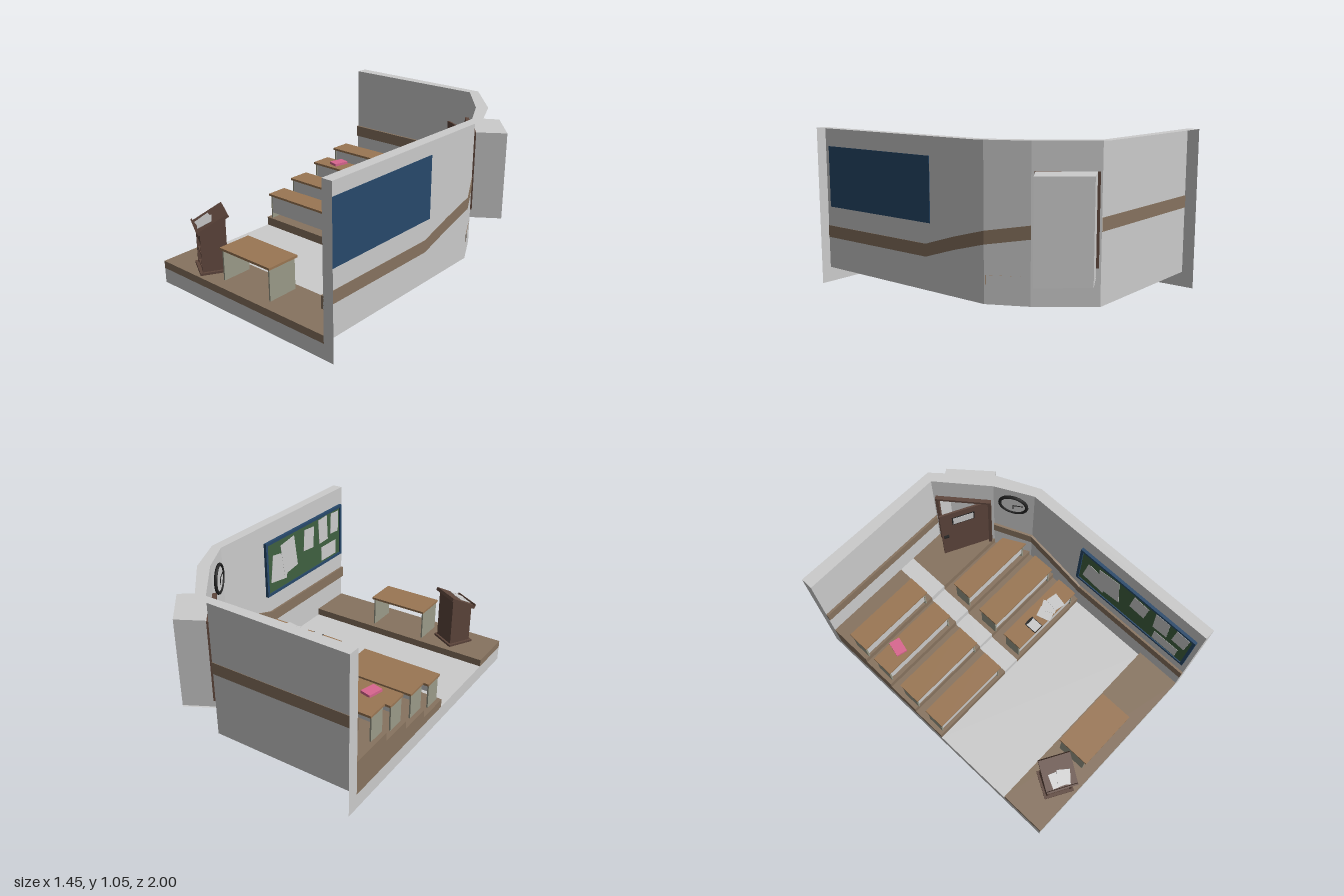
import * as THREE from 'three';

const GREY = 0xcccccc, FLOOR = 0x87735f, WOOD = 0x9a7653, DARK = 0x5e463c, BLACK = 0x222222;
const LEG = 0x9a9a88, BLUE = 0x27496b, GREEN = 0x3f6040, PINK = 0xd9668f;

const mats = {};
const mat = (c) => (mats[c] ??= new THREE.MeshStandardMaterial({ color: c, side: THREE.DoubleSide }));

function add(parent, name, geo, color, pos = [0, 0, 0], rot = [0, 0, 0]) {
  const m = new THREE.Mesh(geo, mat(color));
  m.name = name;
  m.position.set(...pos);
  m.rotation.set(...rot);
  parent.add(m);
  return m;
}

// Box given by its extents on each axis
function block(parent, name, color, x0, x1, y0, y1, z0, z1) {
  return add(parent, name, new THREE.BoxGeometry(x1 - x0, y1 - y0, z1 - z0), color,
    [(x0 + x1) / 2, (y0 + y1) / 2, (z0 + z1) / 2]);
}

// Open shell made of four-cornered faces
function sheet(parent, name, color, quads) {
  const p = [];
  for (const [a, b, c, d] of quads) p.push(...a, ...b, ...c, ...a, ...c, ...d);
  const g = new THREE.BufferGeometry();
  g.setAttribute('position', new THREE.Float32BufferAttribute(p, 3));
  g.computeVertexNormals();
  return add(parent, name, g, color);
}

// Upright face between two plan points, and level four-cornered face
const upright = ([x0, z0], [x1, z1], y0, y1) => [[x0, y0, z0], [x1, y0, z1], [x1, y1, z1], [x0, y1, z0]];
const level = (y, a, b, c, d) => [a, b, c, d].map(([x, z]) => [x, y, z]);

// Flat plate cut from a plan outline
function plate(parent, name, color, pts, y, h) {
  const s = new THREE.Shape(pts.map(([x, z]) => new THREE.Vector2(x, -z)));
  const g = new THREE.ExtrudeGeometry(s, { depth: h, bevelEnabled: false }).rotateX(-Math.PI / 2);
  return add(parent, name, g, color, [0, y, 0]);
}

const H = 1.05, BASE = 0.1;
const inner = [[0.65, 1], [0.65, -0.37], [0.525, -0.61], [0.28, -0.92], [-0.73, -0.92]];
const outer = [[0.72, 1], [0.72, -0.375], [0.59, -0.655], [0.31, -0.98], [-0.73, -1]];
const mix = (a, b, t) => [a[0] + (b[0] - a[0]) * t, a[1] + (b[1] - a[1]) * t];

function buildShell(root) {
  const D0 = mix(inner[2], inner[3], 0.06), D1 = mix(inner[2], inner[3], 0.93);
  const walls = [], lip = [];
  for (let i = 0; i < 4; i++) {
    lip.push(level(H, inner[i], inner[i + 1], outer[i + 1], outer[i]));
    if (i !== 2) walls.push(upright(inner[i], inner[i + 1], BASE, H));
  }
  // wall around the doorway
  walls.push(upright(inner[2], D0, BASE, H), upright(D1, inner[3], BASE, H),
    upright(D0, D1, BASE, 0.33), upright(D0, D1, 0.86, H));
  sheet(root, 'walls', GREY, walls);
  sheet(root, 'wallTop', GREY, lip);
  sheet(root, 'wallEnds', GREY, [upright(inner[0], outer[0], 0, H), upright(inner[4], outer[4], 0, H)]);
  sheet(root, 'baseSkirt', GREY, [upright([-0.73, 1], [0.65, 1], 0, BASE), upright([-0.73, -1], [-0.73, 1], 0, BASE)]);
  sheet(root, 'floor', GREY, [level(BASE, [-0.73, 0.09], [0.65, 0.09], [0.65, 0.68], [-0.73, 0.68])]);
  sheet(root, 'frontPlatform', FLOOR, [
    level(0.15, [-0.73, 0.68], [0.65, 0.68], [0.65, 1], [-0.73, 1]),
    upright([-0.73, 1], [0.65, 1], BASE, 0.15), upright([-0.73, 0.68], [0.65, 0.68], BASE, 0.15),
    upright([-0.73, 0.68], [-0.73, 1], BASE, 0.15)]);

  // entrance recess outside the doorway
  const R0 = [0.69, -0.75], R1 = [0.48, -1];
  sheet(root, 'doorRecess', GREY, [
    upright(D0, R0, 0.27, 0.875), upright(R0, R1, 0.27, 0.875), upright(R1, D1, 0.28, 0.875),
    level(0.875, D0, R0, R1, D1), level(0.27, D0, R0, R1, D1), upright(D0, D1, 0.27, 0.33)]);

  // trim: plan point, inward direction, lower height
  const trim = [[0.65, 1, -1, 0, 0.31], [0.65, 0.09, -1, 0, 0.31], [0.65, -0.14, -1, 0, 0.385],
    [0.65, -0.37, -1, 0.25, 0.45], [0.525, -0.61, -0.87, 0.53, 0.49],
    [0.28, -0.92, -0.47, 1, 0.535], [-0.73, -0.92, 0, 1, 0.535]];
  const q = [];
  const ring = ([x, z, dx, dz, y]) => [[0.015, 0], [0.015, 0.08], [-0.003, 0.08], [-0.003, 0]]
    .map(([d, h]) => [x + dx * d, y + h, z + dz * d]);
  for (let i = 0; i < 6; i++) {
    const a = ring(trim[i]), b = ring(trim[i + 1]);
    if (i !== 4) for (let k = 0; k < 4; k++) q.push([a[k], b[k], b[(k + 1) % 4], a[(k + 1) % 4]]);
  }
  q.push(ring(trim[0]), ring(trim[6]));
  sheet(root, 'wallTrim', FLOOR, q);
}

const tierTop = (i) => 0.16 + 0.0567 * i;

function buildTiers(root) {
  const z = [0.09, -0.15, -0.38, -0.61, -0.92], right = [0.65, 0.65, 0.65, 0.525, 0.28];
  const tiers = [], aisle = [];
  for (let i = 0; i < 4; i++) {
    const y = tierTop(i), low = i ? tierTop(i - 1) : BASE, a = z[i], b = z[i + 1];
    const strip = (x0, x1, x2) => [level(y, [x0, a], [x1, a], [x2, b], [x0, b]), upright([x0, a], [x1, a], low, y)];
    tiers.push(...strip(-0.73, -0.105, -0.105), ...strip(0.015, right[i], right[i + 1]),
      upright([-0.73, a], [-0.73, b], BASE, y));
    aisle.push(...strip(-0.105, 0.015, 0.015));
  }
  sheet(root, 'seatingTiers', FLOOR, tiers);
  sheet(root, 'aisleSteps', GREY, aisle);
}

function desk(root, name, pts, floorY, height, panel) {
  const g = new THREE.Group();
  g.name = name;
  root.add(g);
  const top = floorY + height, [[x0, zb], [xb], [x1, zf]] = pts;
  plate(g, 'deskTop', WOOD, pts, top - 0.015, 0.015);
  block(g, 'endPanel', LEG, x0 + 0.005, x0 + 0.015, floorY, top - 0.015, zb + 0.015, zf - 0.015);
  // the far end follows the slant of the top
  const s = 0.012, a = [xb - s, pts[1][1] + s], b = [x1 - s, zf - s];
  plate(g, 'endPanel', LEG, [a, b, [b[0] - 0.01, b[1]], [a[0] - 0.01, a[1]]], floorY, height - 0.015);
  if (panel) block(g, 'frontPanel', GREY, x0 + 0.015, x1 - 0.02, floorY + 0.04, top - 0.015, zf - 0.025, zf - 0.017);
}

function buildDesks(root) {
  const rows = [[-0.06, 0.09], [-0.29, -0.13], [-0.53, -0.38], [-0.745, -0.595]];
  rows.forEach(([b, f], i) => {
    desk(root, 'leftDesk', [[-0.705, b], [-0.145, b], [-0.145, f], [-0.705, f]], tierTop(i), 0.185, true);
    if (i < 3) desk(root, 'rightDesk', [[0.04, b], [i === 2 ? 0.52 : 0.6, b], [0.6, f], [0.04, f]], tierTop(i), 0.185, true);
  });
  desk(root, 'teacherTable', [[-0.245, 0.71], [0.18, 0.71], [0.18, 0.94], [-0.245, 0.94]], 0.15, 0.222, false);

  // things left on the desks
  const y = tierTop(0) + 0.185;
  block(root, 'clipboard', BLACK, 0.19, 0.265, y, y + 0.004, -0.005, 0.09);
  block(root, 'clipboardSheet', GREY, 0.194, 0.261, y + 0.004, y + 0.006, 0.008, 0.087);
  block(root, 'clipboardClip', BLACK, 0.208, 0.245, y + 0.004, y + 0.014, -0.005, 0.01);
  [[0.345, 0.045, 0.3], [0.4, 0.03, 0.5], [0.455, 0.04, -0.2]].forEach(([x, z, r], i) =>
    add(root, 'looseSheet', new THREE.BoxGeometry(0.08, 0.002, 0.1), GREY, [x, y + 0.002 * (i + 1), z], [0, r, 0]));
  const by = tierTop(2) + 0.185;
  add(root, 'book', new THREE.BoxGeometry(0.075, 0.018, 0.105), PINK, [-0.54, by + 0.009, -0.47], [0, -0.25, 0]);
}

function buildLectern(root) {
  const g = new THREE.Group();
  g.name = 'lectern';
  g.position.set(-0.427, 0.15, 0.853);
  g.rotation.y = -0.52;
  root.add(g);
  block(g, 'base', DARK, -0.1, 0.1, 0, 0.015, -0.095, 0.095);
  const side = new THREE.Shape([[-0.08, 0.015], [0.08, 0.015], [0.08, 0.28], [-0.08, 0.362]].map((p) => new THREE.Vector2(...p)));
  const sg = new THREE.ExtrudeGeometry(side, { depth: 0.012, bevelEnabled: false }).rotateY(-Math.PI / 2);
  for (const x of [-0.073, 0.085]) add(g, 'side', sg, DARK, [x, 0, 0]);
  block(g, 'backPanel', DARK, -0.075, 0.075, 0.015, 0.355, -0.08, -0.068);
  for (const y of [0.02, 0.11, 0.205]) block(g, 'shelf', DARK, -0.075, 0.075, y, y + 0.012, -0.07, 0.075);
  block(g, 'upperFront', DARK, -0.075, 0.075, 0.205, 0.28, 0.07, 0.08);
  block(g, 'shelfBooks', LEG, -0.06, -0.015, 0.122, 0.145, -0.03, 0.06);
  const top = new THREE.Group();
  top.name = 'slopedTop';
  top.position.set(0, 0.33, 0);
  top.rotation.x = 0.49;
  g.add(top);
  block(top, 'readingBoard', DARK, -0.104, 0.104, -0.012, 0.01, -0.108, 0.108);
  block(top, 'ledge', DARK, -0.104, 0.104, 0.01, 0.022, 0.098, 0.108);
  [[-0.02, 0.04, 0.1], [0.025, 0.035, -0.2]].forEach(([x, z, r], i) =>
    add(top, 'notes', new THREE.BoxGeometry(0.085, 0.003, 0.1), GREY, [x, 0.012 + 0.003 * i, z], [0, r, 0]));
}

function buildDoor(root) {
  // frame set on the slanted wall
  const frame = new THREE.Group();
  frame.name = 'doorFrame';
  frame.position.set(0.4, 0, -0.758);
  frame.rotation.y = -Math.atan2(0.31, 0.245);
  root.add(frame);
  for (const x of [-0.178, 0.166]) block(frame, 'jamb', DARK, x - 0.01, x + 0.01, 0.33, 0.875, -0.02, 0.02);
  block(frame, 'lintel', DARK, -0.188, 0.176, 0.855, 0.875, -0.02, 0.02);
  // leaf standing open, measured from its hinge
  const leaf = new THREE.Group();
  leaf.name = 'door';
  leaf.position.set(0.51, 0, -0.635);
  leaf.rotation.y = Math.PI - Math.atan2(0.155, 0.31);
  leaf.rotation.y = -Math.atan2(0.155, 0.31);
  root.add(leaf);
  block(leaf, 'leaf', DARK, -0.347, 0, 0.33, 0.858, -0.006, 0.006);
  block(leaf, 'windowFrame', BLACK, -0.266, -0.11, 0.708, 0.797, -0.008, 0.008);
  block(leaf, 'windowPane', GREY, -0.258, -0.118, 0.716, 0.789, -0.01, 0.01);
  block(leaf, 'handle', BLACK, -0.335, -0.3, 0.575, 0.587, -0.022, 0.022);
}

function buildWallItems(root) {
  // notice board with pinned sheets: z, y, width, height, tilt
  block(root, 'boardBack', BLUE, 0.64, 0.653, 0.52, 0.925, 0.05, 0.97);
  block(root, 'boardFelt', GREEN, 0.637, 0.641, 0.54, 0.905, 0.07, 0.95);
  for (const y of [0.52, 0.905]) block(root, 'boardRail', BLUE, 0.63, 0.645, y, y + 0.02, 0.05, 0.97);
  for (const z of [0.05, 0.95]) block(root, 'boardStile', BLUE, 0.63, 0.645, 0.52, 0.925, z, z + 0.02);
  [[0.2, 0.7, 0.18, 0.2, 0.15], [0.31, 0.75, 0.16, 0.24, -0.15], [0.55, 0.79, 0.12, 0.16, 0.08], [0.73, 0.8, 0.11, 0.19, -0.06],
    [0.88, 0.81, 0.1, 0.16, 0.05], [0.8, 0.61, 0.19, 0.11, 0]].forEach(([z, y, w, h, r], i) =>
    add(root, 'pinnedSheet', new THREE.BoxGeometry(0.002, h, w), GREY, [0.635 - 0.001 * (i % 2), y, z], [r, 0, 0]));

  // wall clock on the short slanted wall
  const c = new THREE.Group();
  c.name = 'clock';
  c.position.set(0.577, 0.9, -0.485);
  c.rotation.y = -Math.atan2(0.887, 0.462);
  root.add(c);
  add(c, 'clockRim', new THREE.TorusGeometry(0.09, 0.011, 8, 32), BLACK);
  add(c, 'clockFace', new THREE.CircleGeometry(0.09, 32), GREY, [0, 0, 0.002]);
  add(c, 'hourHand', new THREE.BoxGeometry(0.008, 0.045, 0.003), BLACK, [0, -0.018, 0.006]);
  add(c, 'minuteHand', new THREE.BoxGeometry(0.07, 0.006, 0.003), BLACK, [0.032, 0.008, 0.006], [0, 0, 0.2]);
}

export function createModel() {
  const root = new THREE.Group();
  root.name = 'lectureRoom';
  buildShell(root);
  buildTiers(root);
  buildDesks(root);
  buildLectern(root);
  buildDoor(root);
  buildWallItems(root);
  return root;
}
